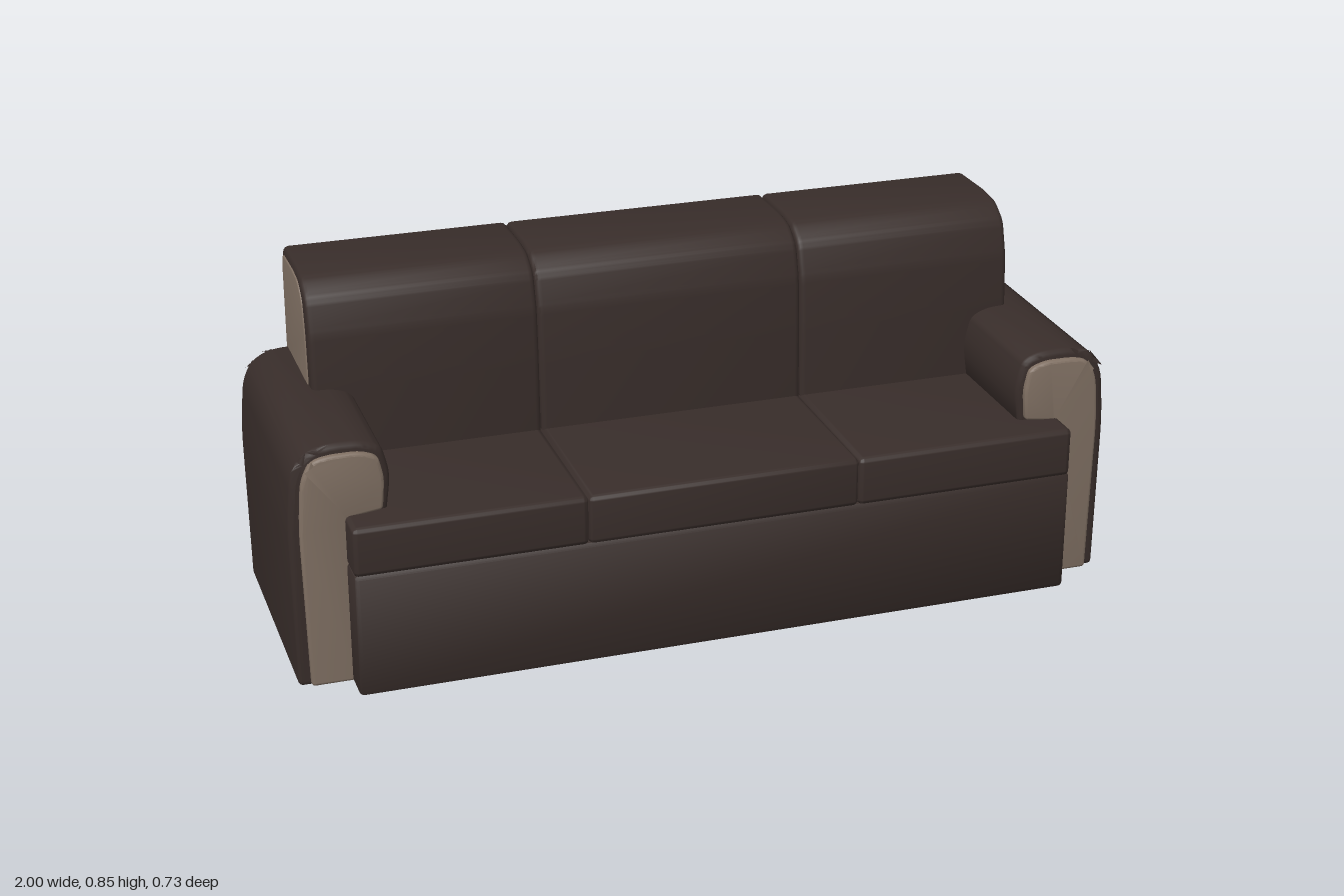
import * as THREE from 'three';
import { toCreasedNormals } from 'three/addons/utils/BufferGeometryUtils.js';
import { RoundedBoxGeometry } from 'three/addons/geometries/RoundedBoxGeometry.js';

const dark = new THREE.MeshStandardMaterial({ color: 0x382d2a });
const beige = new THREE.MeshStandardMaterial({ color: 0x807063 });

// Outline with every corner rounded by its own radius: [x, y, radius]
function roundedShape(points) {
  const shape = new THREE.Shape();
  const n = points.length;
  points.forEach(([x, y, r], i) => {
    const p = new THREE.Vector2(x, y);
    const toward = (q) => new THREE.Vector2(q[0], q[1]).sub(p).setLength(r).add(p);
    const a = toward(points[(i + n - 1) % n]);
    const b = toward(points[(i + 1) % n]);
    if (i === 0) shape.moveTo(a.x, a.y);
    else shape.lineTo(a.x, a.y);
    if (r > 0) shape.quadraticCurveTo(x, y, b.x, b.y);
  });
  shape.closePath();
  return shape;
}

// Solid with soft edges, running from start to end along z
function softExtrude(shape, start, end, bevel) {
  const geo = new THREE.ExtrudeGeometry(shape, {
    depth: end - start - 2 * bevel, curveSegments: 5,
    bevelEnabled: true, bevelSize: bevel, bevelThickness: bevel, bevelOffset: -bevel, bevelSegments: 3,
  });
  geo.translate(0, 0, start + bevel);
  return geo;
}

export function createModel() {
  const model = new THREE.Group();
  model.name = 'sofa';

  function add(name, geo, material) {
    const mesh = new THREE.Mesh(toCreasedNormals(geo, 0.75), material);
    mesh.name = name;
    model.add(mesh);
    return mesh;
  }

  function addBox(name, x0, x1, y0, y1, z0, z1, r) {
    const geo = new RoundedBoxGeometry(x1 - x0, y1 - y0, z1 - z0, 3, r);
    add(name, geo, dark).position.set((x0 + x1) / 2, (y0 + y1) / 2, (z0 + z1) / 2);
  }

  // Base and back panel
  addBox('base', -0.873, 0.873, 0, 0.306, -0.33, 0.36, 0.012);
  addBox('backPanel', -0.93, 0.93, 0, 0.575, -0.337, -0.2, 0.012);

  // Outline of the back cushions, seen from the side (first value is -z)
  const cushionShape = roundedShape([
    [0.035, 0.41, 0], [0.04, 0.6, 0.02], [0.048, 0.72, 0.02], [0.073, 0.805, 0.02],
    [0.125, 0.84, 0.02], [0.19, 0.847, 0.02], [0.335, 0.845, 0.012], [0.35, 0.81, 0.012],
    [0.357, 0.7, 0.02], [0.361, 0.56, 0.012], [0.3, 0.555, 0.01], [0.3, 0.41, 0],
  ]);

  // Three seat cushions and three back cushions
  const splits = [-0.872, -0.328, 0.328, 0.872];
  for (let i = 0; i < 3; i++) {
    const x0 = splits[i], x1 = splits[i + 1];
    addBox('seatCushion', x0, x1, 0.3, 0.421, -0.25, 0.361, 0.013);
    add('backCushion', softExtrude(cushionShape, x0, x1, 0.014).rotateY(Math.PI / 2), dark);
  }

  // Pale panels at both ends of the back
  const endShape = roundedShape([
    [0.079, 0.5, 0], [0.082, 0.62, 0.02], [0.088, 0.72, 0.02], [0.103, 0.79, 0.02],
    [0.14, 0.824, 0.02], [0.2, 0.831, 0.02], [0.322, 0.828, 0.012], [0.333, 0.79, 0.012],
    [0.339, 0.6, 0.02], [0.339, 0.5, 0],
  ]);
  for (const s of [-1, 1]) {
    const centre = s * 0.866;
    add('backEndPanel', softExtrude(endShape, centre - 0.009, centre + 0.009, 0.003).rotateY(Math.PI / 2), beige);
  }

  // Arms with an inward overhang, each with a pale front panel
  for (const s of [-1, 1]) {
    const mirror = (pts) => roundedShape(pts.map(([x, y, r]) => [s * x, y, r]));
    const armShape = mirror([
      [0.85, 0, 0], [0.995, 0, 0.012], [0.999, 0.4, 0.05], [0.987, 0.535, 0.04],
      [0.95, 0.58, 0.035], [0.9, 0.592, 0.03], [0.82, 0.59, 0.025], [0.778, 0.572, 0.02],
      [0.76, 0.5, 0.03], [0.772, 0.41, 0.01], [0.85, 0.405, 0.01],
    ]);
    add('arm', softExtrude(armShape, -0.337, 0.272, 0.014), dark);

    const panelShape = mirror([
      [0.86, 0.004, 0], [0.968, 0.004, 0.01], [0.975, 0.4, 0.05], [0.965, 0.525, 0.035],
      [0.94, 0.562, 0.02], [0.9, 0.57, 0.02], [0.83, 0.57, 0.02], [0.79, 0.555, 0.015],
      [0.778, 0.5, 0.02], [0.784, 0.425, 0.01], [0.86, 0.415, 0.01],
    ]);
    add('armFrontPanel', softExtrude(panelShape, 0.255, 0.286, 0.007), beige);
  }

  // The sofa stands a hair off square
  model.rotation.y = 0.006;
  const group = new THREE.Group();
  group.add(model);
  return group;
}
